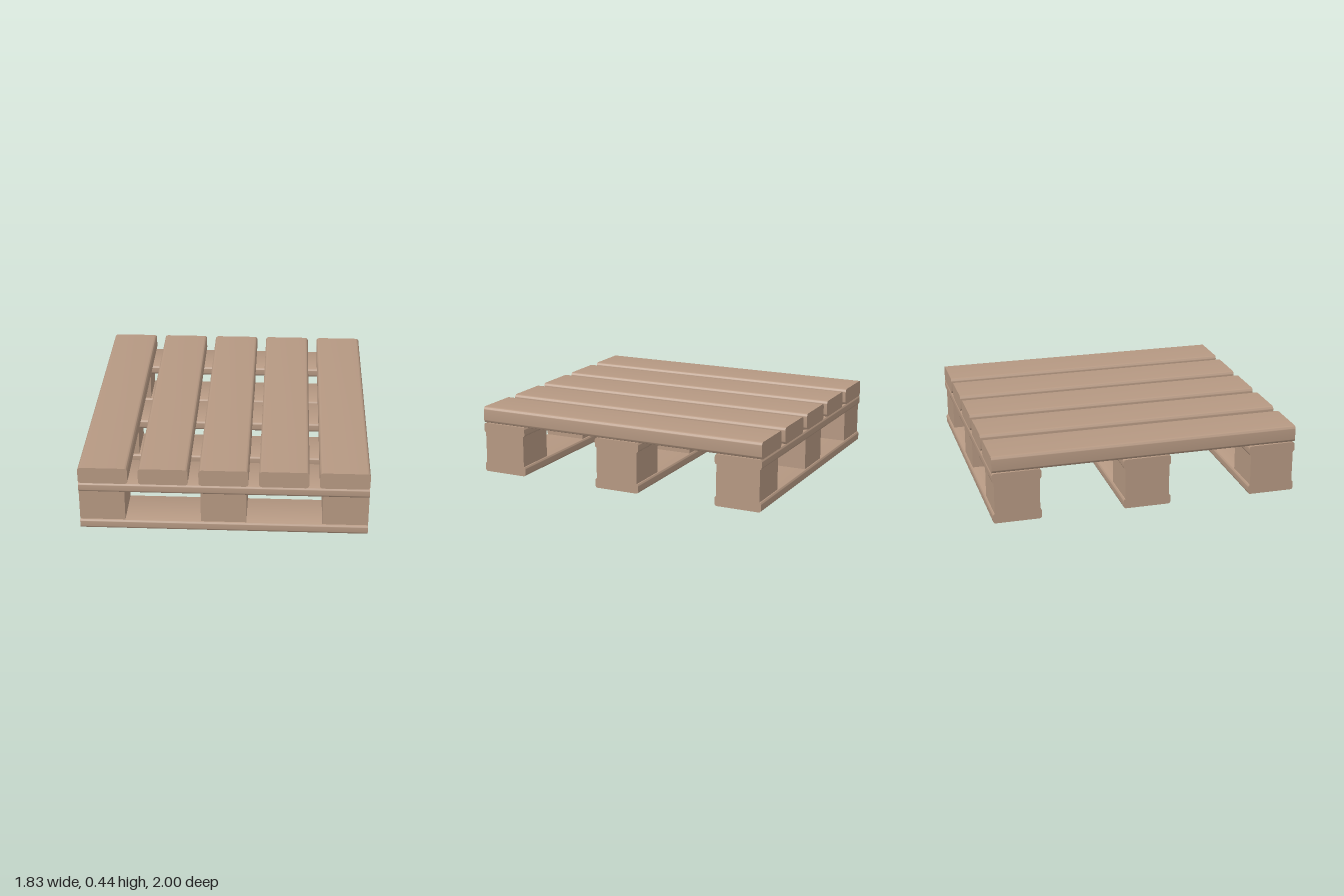
import * as THREE from 'three';
import { toCreasedNormals } from 'three/addons/utils/BufferGeometryUtils.js';

const wood = new THREE.MeshStandardMaterial({ color: 0xb59882 });
wood.name = 'wood';

// Plank along z with rounded long edges and sharp flat ends
function plankGeometry(width, height, length, radius) {
  const w = width / 2, h = height / 2, r = radius;
  const s = new THREE.Shape();
  s.absarc(w - r, h - r, r, 0, Math.PI / 2);
  s.absarc(-w + r, h - r, r, Math.PI / 2, Math.PI);
  s.absarc(-w + r, -h + r, r, Math.PI, Math.PI * 1.5);
  s.absarc(w - r, -h + r, r, Math.PI * 1.5, Math.PI * 2);
  const g = new THREE.ExtrudeGeometry(s, { depth: length, bevelEnabled: false, curveSegments: 3 });
  g.translate(0, 0, -length / 2);
  return toCreasedNormals(g, Math.PI / 3);
}

export function createModel() {
  const pallet = new THREE.Group();
  pallet.name = 'pallet';
  const add = (name, geometry, x, y, z) => {
    const mesh = new THREE.Mesh(geometry, wood);
    mesh.name = name;
    mesh.position.set(x, y, z);
    pallet.add(mesh);
  };

  const deckBoard = plankGeometry(0.314, 0.11, 2, 0.02);
  const crossBoard = plankGeometry(0.312, 0.065, 1.834, 0.016).rotateY(Math.PI / 2);
  const block = new THREE.BoxGeometry(0.29, 0.206, 0.29);

  // Five deck boards running front to back
  for (let i = -2; i <= 2; i++) add('deckBoard', deckBoard, i * 0.38, 0.389, 0);

  // Three runners: lower board, three blocks, upper board
  for (const z of [-0.844, 0, 0.844]) {
    add('lowerCrossBoard', crossBoard, 0, 0.0325, z);
    add('upperCrossBoard', crossBoard, 0, 0.3015, z);
    for (const x of [-0.772, 0, 0.772]) add('spacerBlock', block, x, 0.167, z);
  }
  return pallet;
}
